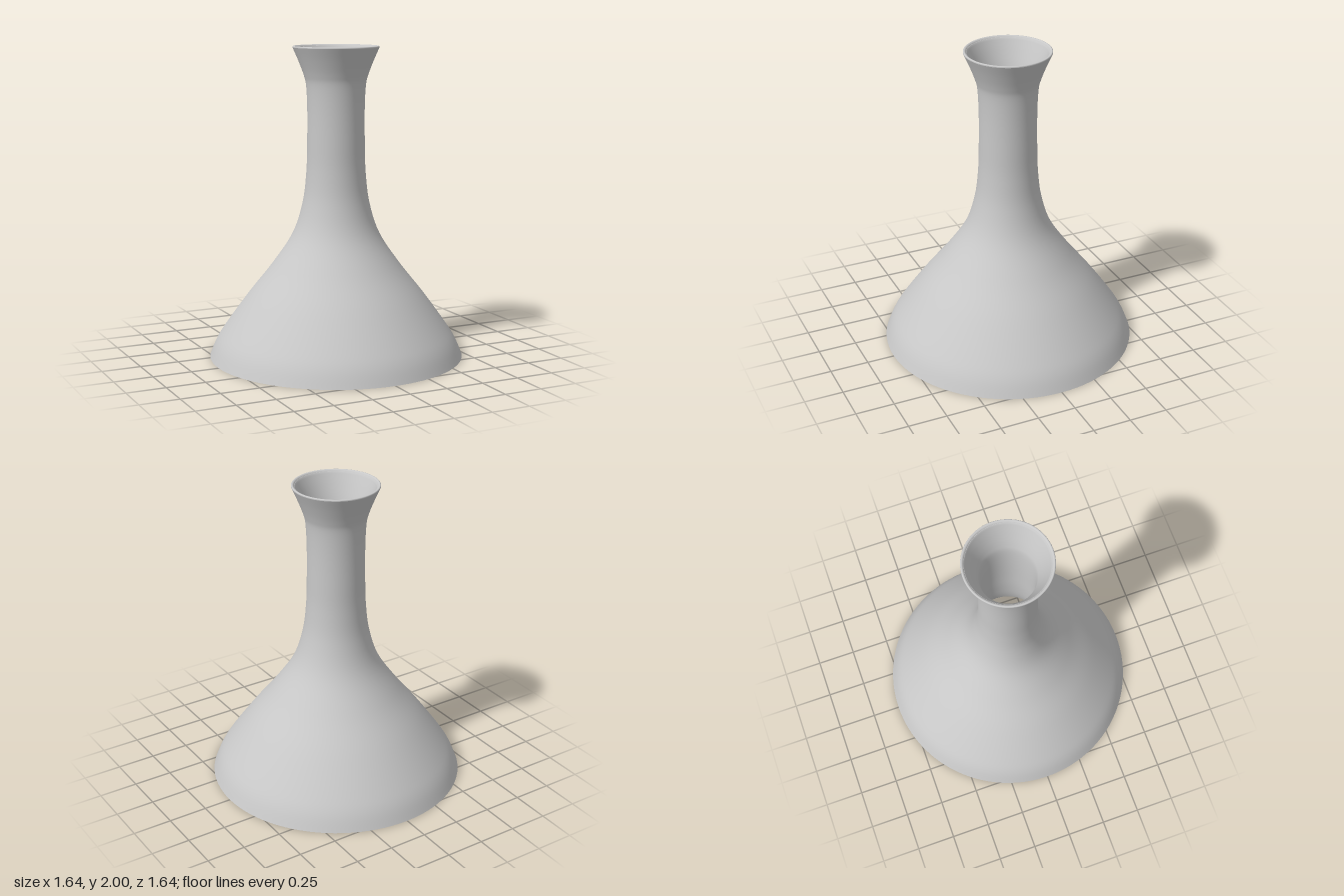
import * as THREE from 'three';

export function createModel() {
  const group = new THREE.Group();
  group.name = 'flaredVase';
  const grey = new THREE.MeshStandardMaterial({ color: 0xc8c8c8 });
  grey.name = 'plain grey';

  const wall = 0.02;
  const segments = 96;

  // Outer silhouette as radius, height
  const outerCurve = new THREE.SplineCurve([
    [0.82, 0], [0.778, 0.1], [0.715, 0.2], [0.57, 0.4], [0.412, 0.6],
    [0.28, 0.8], [0.215, 1], [0.19, 1.2], [0.184, 1.4], [0.183, 1.6],
    [0.19, 1.75], [0.206, 1.82], [0.24, 1.91], [0.275, 1.99],
  ].map(([r, y]) => new THREE.Vector2(r, y)));
  const outer = outerCurve.getPoints(78);

  // Inner silhouette: the outer one moved inward along its normal
  const inner = outer.map((p, i) => {
    const t = outerCurve.getTangent(i / 78);
    return new THREE.Vector2(p.x - t.y * wall, p.y + t.x * wall);
  });
  inner[0].set(0.798, 0);
  inner[78].set(0.256, 1.99);

  // Rounded lip joining both walls
  const lip = new THREE.CubicBezierCurve(
    outer[78], new THREE.Vector2(0.278, 2.003),
    new THREE.Vector2(0.261, 2.003), inner[78],
  ).getPoints(8);

  const addLathe = (name, points) => {
    const mesh = new THREE.Mesh(new THREE.LatheGeometry(points, segments), grey);
    mesh.name = name;
    group.add(mesh);
  };

  addLathe('outerWall', outer);
  addLathe('lip', lip);
  addLathe('innerWall', [...inner].reverse());
  // Flat ring the vase stands on
  addLathe('footRing', [inner[0], outer[0]]);

  return group;
}
